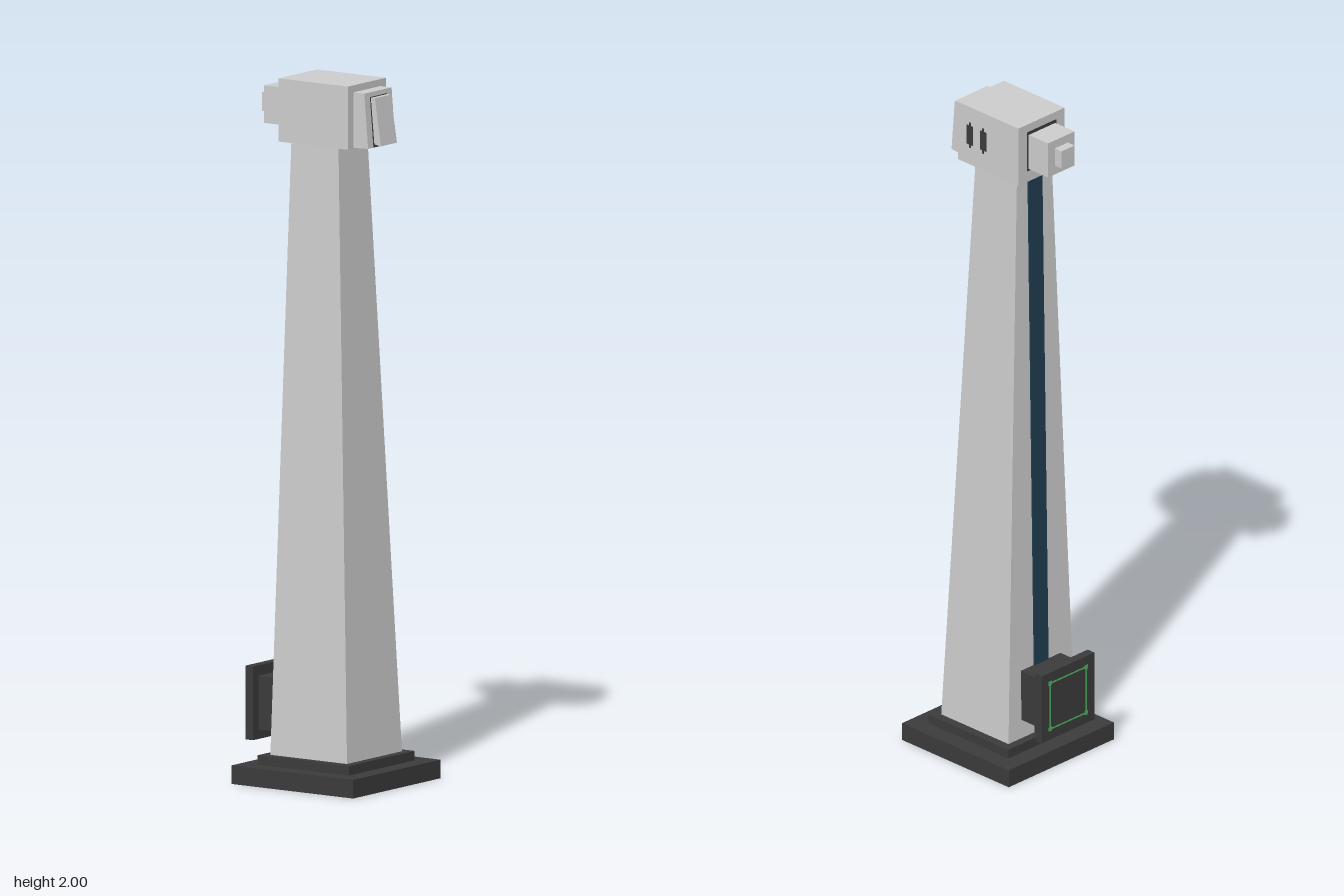
import * as THREE from 'three';

const mat = (name, color) => {
  const m = new THREE.MeshStandardMaterial({ color });
  m.name = name;
  return m;
};

export function createModel() {
  const grey = mat('light grey', 0xcccccc);
  const dark = mat('charcoal', 0x3b3b3b);
  const blue = mat('deep blue', 0x1f3d50);
  const green = mat('green', 0x4aad5e);
  const model = new THREE.Group();
  model.name = 'tower';

  const add = (name, geometry, material, parent = model) => {
    const mesh = new THREE.Mesh(geometry, material);
    mesh.name = name;
    parent.add(mesh);
    return mesh;
  };
  // Box given by its extents
  const block = (name, material, [x0, x1], [y0, y1], [z0, z1], parent) => {
    const g = new THREE.BoxGeometry(x1 - x0, y1 - y0, z1 - z0);
    g.translate((x0 + x1) / 2, (y0 + y1) / 2, (z0 + z1) / 2);
    return add(name, g, material, parent);
  };
  // Side outline of [z, y] points, extruded across x and centred
  const slab = (name, material, points, width, parent) => {
    const shape = new THREE.Shape(points.map(([z, y]) => new THREE.Vector2(z, y)));
    const g = new THREE.ExtrudeGeometry(shape, { depth: width, bevelEnabled: false });
    g.rotateY(-Math.PI / 2).translate(width / 2, 0, 0);
    return add(name, g, material, parent);
  };

  // Stepped base
  block('base', dark, [-0.21, 0.21], [0, 0.053], [-0.198, 0.222]);
  block('baseStep', dark, [-0.158, 0.158], [0.053, 0.08], [-0.145, 0.17]);

  // Tapered column, its back steeper than its front
  const column = new THREE.BoxGeometry(2, 1, 2);
  const p = column.attributes.position;
  for (let i = 0; i < p.count; i++) {
    const top = p.getY(i) > 0;
    const front = p.getZ(i) > 0;
    p.setXYZ(i, Math.sign(p.getX(i)) * (top ? 0.07 : 0.132), top ? 1.82 : 0.08,
      front ? (top ? 0.071 : 0.145) : (top ? -0.092 : -0.12));
  }
  column.computeVertexNormals();
  add('column', column, grey);

  // Strip running down the back of the column
  slab('backStrip', blue, [[-0.118, 0.08], [-0.124, 0.08], [-0.096, 1.82], [-0.09, 1.82]], 0.056);

  // Head with a sloped front
  const head = new THREE.Group();
  head.name = 'head';
  model.add(head);
  block('headBox', grey, [-0.092, 0.092], [1.82, 2], [-0.12, 0.119], head);
  slab('frontHousing', grey, [[0.117, 1.822], [0.17, 1.824], [0.157, 1.98], [0.117, 1.98]], 0.131, head);
  slab('frontSeam', dark, [[0.16, 1.825], [0.173, 1.825], [0.16, 1.967], [0.15, 1.967]], 0.08, head);
  slab('frontPanel', grey, [[0.168, 1.834], [0.195, 1.83], [0.174, 1.965], [0.159, 1.965]], 0.077, head);

  // Rear housing and nub
  block('rearSeam', dark, [-0.057, 0.057], [1.854, 1.976], [-0.122, -0.119], head);
  block('rearHousing', grey, [-0.053, 0.053], [1.86, 1.967], [-0.198, -0.119], head);
  block('rearNub', grey, [-0.026, 0.026], [1.888, 1.942], [-0.225, -0.197], head);

  // Pair of slots on one side of the head
  for (const z of [0.071, 0.018]) {
    block('sideSlot', dark, [0.09, 0.094], [1.883, 1.942], [z - 0.012, z + 0.012], head);
    block('sideSlotTip', dark, [0.09, 0.094], [1.873, 1.952], [z - 0.003, z + 0.003], head);
  }

  // Control box low on the back
  const box = new THREE.Group();
  box.name = 'controlBox';
  model.add(box);
  block('controlHousing', dark, [-0.079, 0.079], [0.137, 0.29], [-0.2, -0.112], box);
  block('controlPanel', dark, [-0.105, 0.105], [0.11, 0.32], [-0.225, -0.199], box);

  // Thin frame with corner marks on the panel
  const cy = 0.215, r = 0.072, t = 0.002, z = [-0.2265, -0.2245];
  for (const s of [-1, 1]) {
    block('frameLine', green, [-r, r], [cy + s * r - t, cy + s * r + t], z, box);
    block('frameLine', green, [s * r - t, s * r + t], [cy - r, cy + r], z, box);
    for (const v of [-1, 1]) {
      const x = s * r, y = cy + v * r;
      block('frameCorner', green, [x - 0.006, x + 0.006], [y - 0.006, y + 0.006], z, box);
    }
  }
  return model;
}
